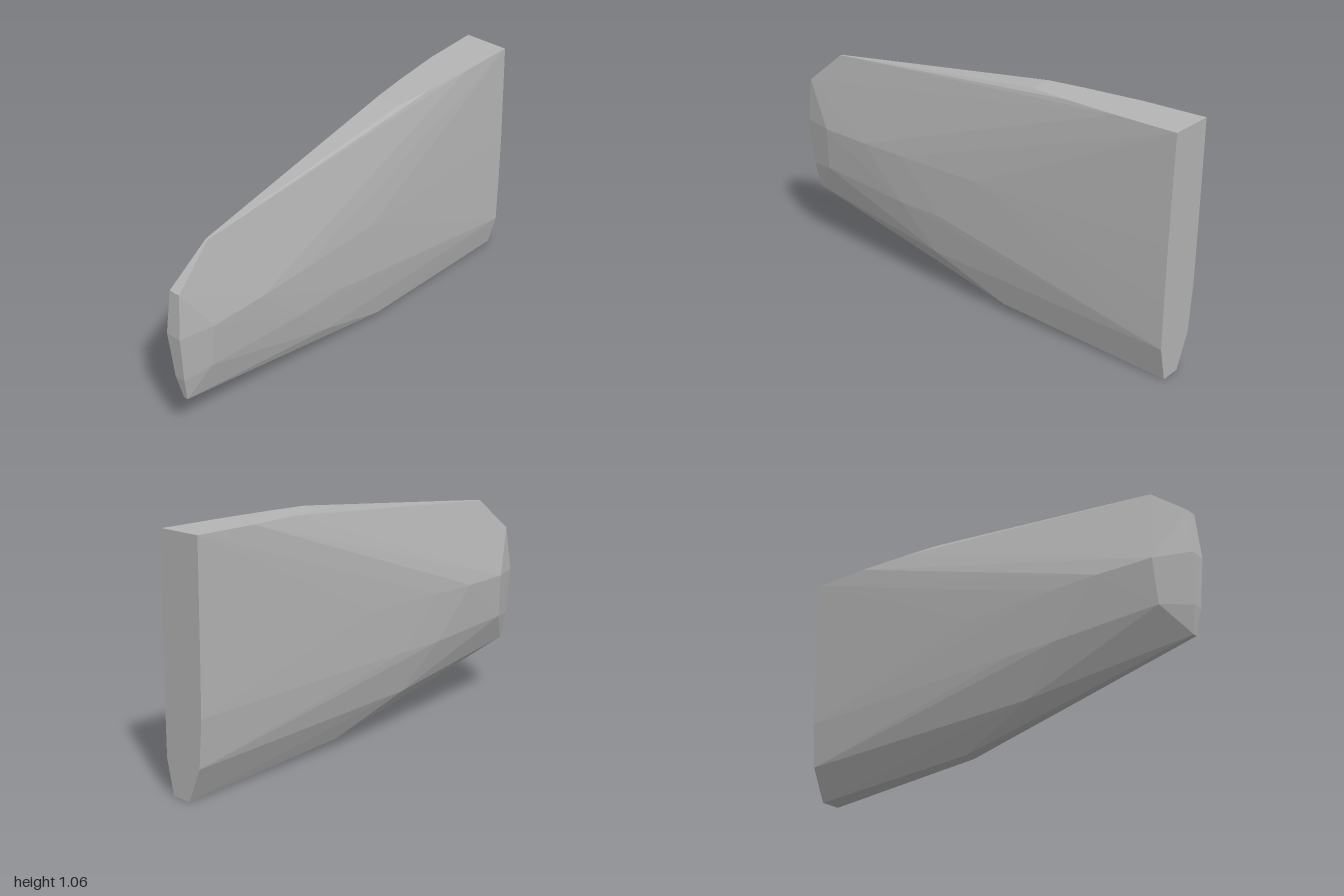
import * as THREE from 'three';
import { ConvexGeometry } from 'three/addons/geometries/ConvexGeometry.js';

// Each rail runs along the slab; a station is [x, y, frontZ, backZ].
const rails = {
  topEdge: [[1, 1.06, 0.09, -0.115], [0.72, 1.06, 0.084, -0.108], [0.48, 1.06, 0.07, -0.085],
    [0.3, 1.06, 0.052, -0.062], [-0.8, 0.95, 0.03, 0.02], [-0.98, 0.8, 0.05, 0]],
  middle: [[1, 0.6, 0.106, -0.109], [0.05, 0.6, 0.112, -0.104], [-0.37, 0.6, 0.108, -0.1],
    [-0.6, 0.6, 0.103, -0.095], [-0.85, 0.6, 0.09, -0.075], [-1, 0.6, 0.055, -0.015]],
  lower: [[1, 0.355, 0.109, -0.104], [-0.15, 0.375, 0.108, -0.093], [-0.38, 0.375, 0.102, -0.088],
    [-0.86, 0.4, 0.075, -0.058], [-0.985, 0.38, 0.045, -0.005]],
  chine: [[1, 0.15, 0.11, -0.085], [-0.2, 0.18, 0.08, -0.045]],
  bottomEdge: [[1, 0, 0.075, -0.018], [0.17, 0.04, 0.06, 0.005], [-0.965, 0.265, 0.03, 0.01]],
};

export function createModel() {
  const grey = new THREE.MeshStandardMaterial({ color: 0xb4b4b4 });
  grey.name = 'plain grey';

  // Faceted tapering slab wrapped around the front and back rails
  const points = Object.values(rails).flat().flatMap(([x, y, front, back]) => [
    new THREE.Vector3(x, y, front),
    new THREE.Vector3(x, y, back),
  ]);
  const slab = new THREE.Mesh(new ConvexGeometry(points), grey);
  slab.name = 'taperedSlab';

  const model = new THREE.Group();
  model.name = 'facetedSlab';
  model.add(slab);
  return model;
}
